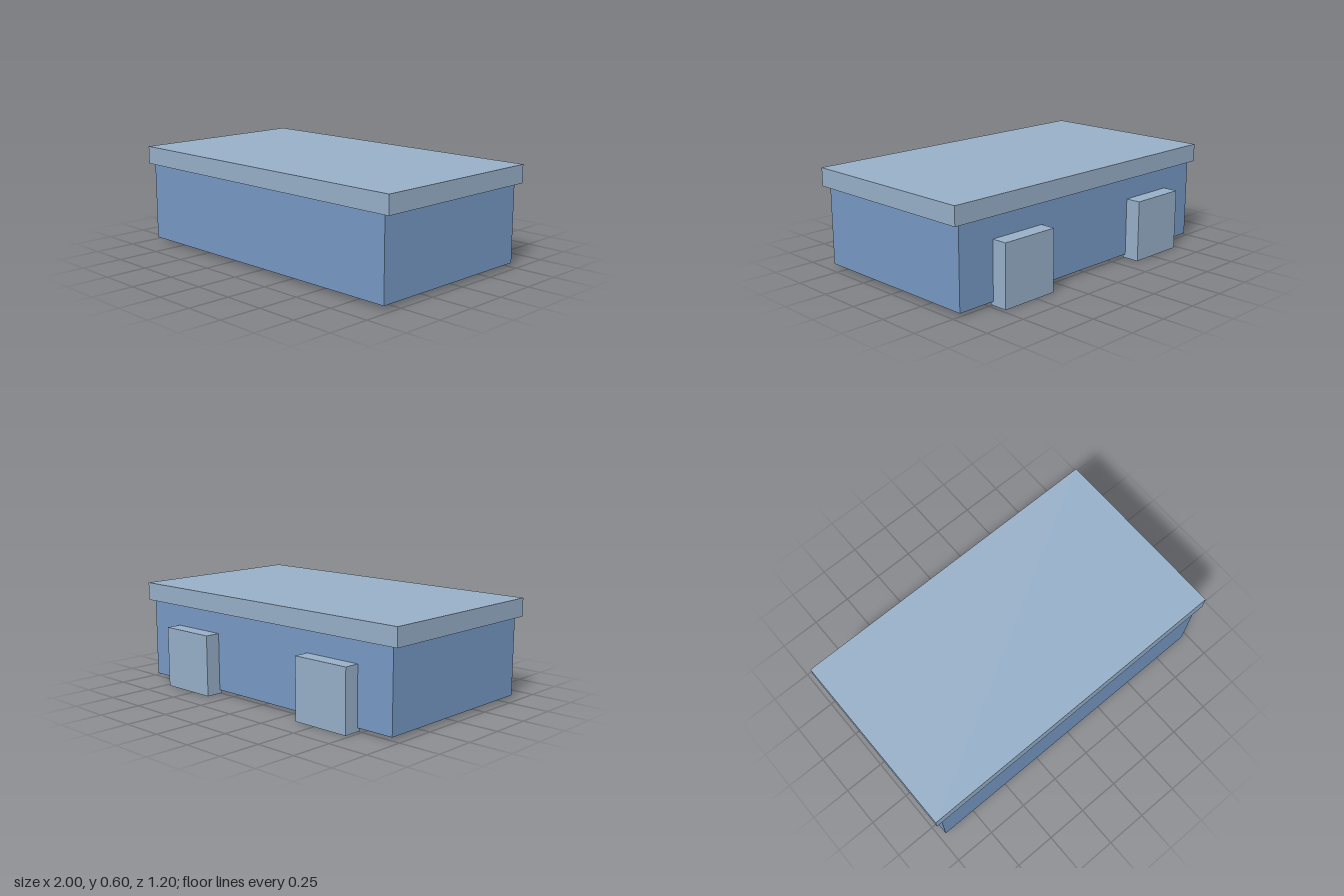
import * as THREE from 'three';

const bodyBlue = new THREE.MeshStandardMaterial({ name: 'body blue', color: 0x7799c4 });
const paleBlue = new THREE.MeshStandardMaterial({ name: 'pale blue', color: 0x97b0c9 });

// Box given by its minimum and maximum corners
function box(name, material, [x0, y0, z0], [x1, y1, z1]) {
  const mesh = new THREE.Mesh(new THREE.BoxGeometry(x1 - x0, y1 - y0, z1 - z0), material);
  mesh.position.set((x0 + x1) / 2, (y0 + y1) / 2, (z0 + z1) / 2);
  mesh.name = name;
  return mesh;
}

export function createModel() {
  const model = new THREE.Group();
  model.name = 'lidded box';

  // Main block with an overhanging lid
  model.add(box('body', bodyBlue, [-0.96, 0.022, -0.508], [0.96, 0.492, 0.583]));
  model.add(box('lid', paleBlue, [-1, 0.492, -0.528], [1, 0.6, 0.6]));

  // Two blocks on the back, reaching slightly below the body
  for (const [name, x] of [['leftBackBlock', 0.545], ['rightBackBlock', -0.545]]) {
    model.add(box(name, paleBlue, [x - 0.181, 0, -0.6], [x + 0.181, 0.364, -0.491]));
  }
  return model;
}
